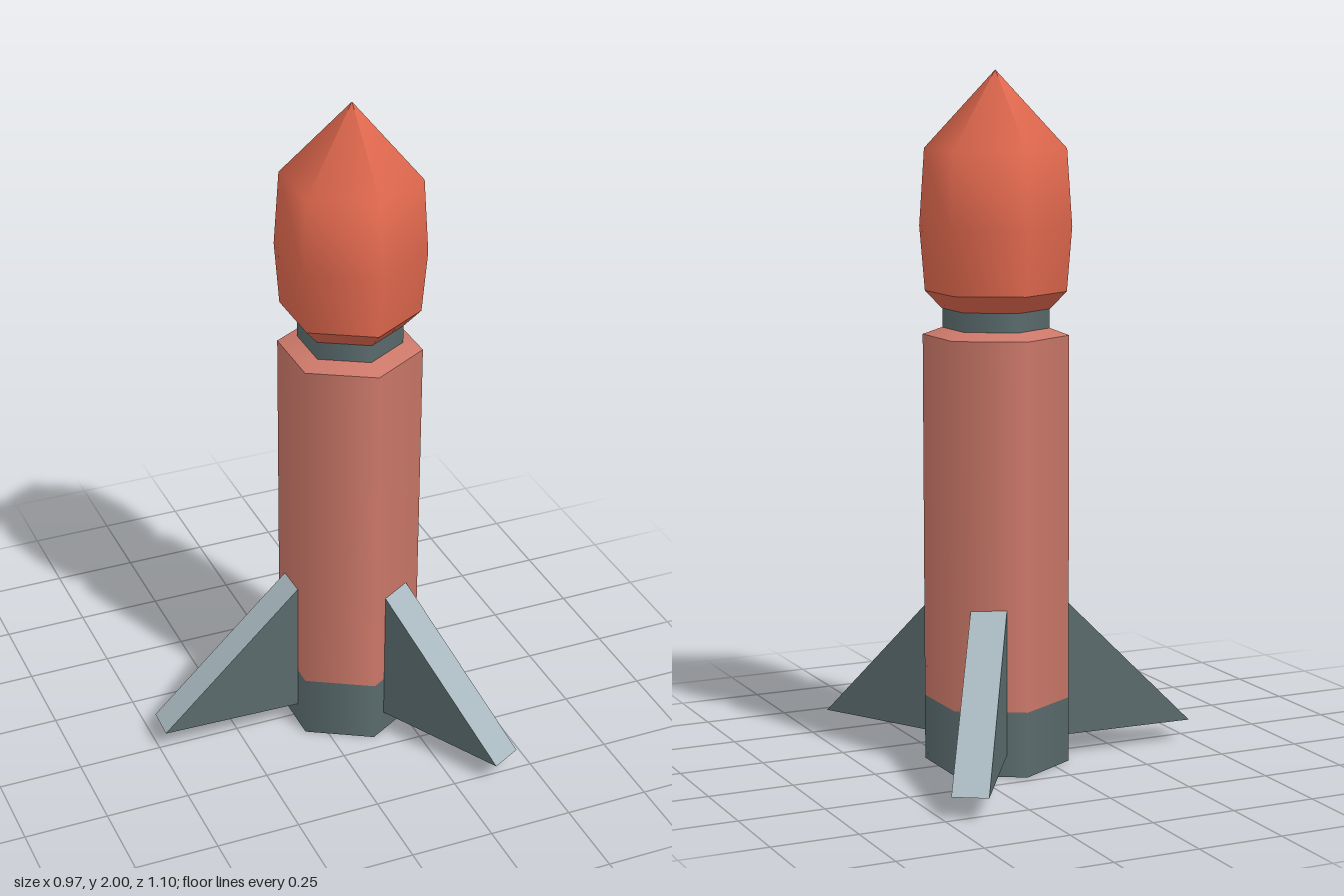
import * as THREE from 'three';

const paint = (name, color) => {
  const m = new THREE.MeshStandardMaterial({ color });
  m.name = name;
  return m;
};

export function createModel() {
  const red = paint('nose red', 0xe0684e);
  const salmon = paint('body salmon', 0xcc7869);
  const slate = paint('dark slate', 0x5a6b6d);
  const pale = paint('pale grey', 0xa8b8be);

  const model = new THREE.Group();
  model.name = 'rocket';
  const rocket = new THREE.Group();
  rocket.name = 'rocketParts';
  rocket.position.set(0.12, 0, -0.01); // the uneven fins shift the hull off centre
  model.add(rocket);

  const add = (name, geometry, material, parent = rocket) => {
    const mesh = new THREE.Mesh(geometry, material);
    mesh.name = name;
    parent.add(mesh);
    return mesh;
  };

  // Six-sided hull section from y0 to y1
  const section = (name, y0, y1, r0, r1, material, open = false) => {
    const g = new THREE.CylinderGeometry(r1, r0, y1 - y0, 6, 1, open);
    g.translate(0, (y0 + y1) / 2, 0);
    return add(name, g, material);
  };

  section('engineBase', 0, 0.19, 0.21, 0.21, slate);
  section('body', 0.19, 1.25, 0.21, 0.21, salmon, true);
  section('bodyShoulder', 1.25, 1.27, 0.21, 0.155, salmon);
  section('neck', 1.26, 1.33, 0.153, 0.153, slate);
  section('noseUnderside', 1.325, 1.375, 0.155, 0.203, red);

  // Nose, smoothly shaded up to the tip
  const profile = [[0.203, 1.375], [0.218, 1.56], [0.203, 1.78], [0, 2]];
  add('nose', new THREE.LatheGeometry(profile.map(([r, y]) => new THREE.Vector2(r, y)), 6), red);

  // Fin: extruded triangle with a pale leading edge
  const finShape = new THREE.Shape([[0.18, 0.065], [0.605, 0.065], [0.18, 0.485]]
    .map(([x, y]) => new THREE.Vector2(x, y)));
  const thickness = 0.103;
  const fin = new THREE.ExtrudeGeometry(finShape, { depth: thickness, bevelEnabled: false });
  fin.translate(0, 0, -thickness / 2);
  fin.clearGroups();
  const normal = fin.attributes.normal;
  for (let i = 0; i < normal.count; i += 3) {
    const leading = normal.getX(i) > 0.3 && normal.getY(i) > 0.3;
    fin.addGroup(i, 3, leading ? 1 : 0);
  }
  ['backFin', 'frontFin', 'rightFin'].forEach((name, i) => {
    const angle = THREE.MathUtils.degToRad(-58.3 + i * 120);
    add(name, fin, [slate, pale]).rotation.y = -angle;
  });

  return model;
}
